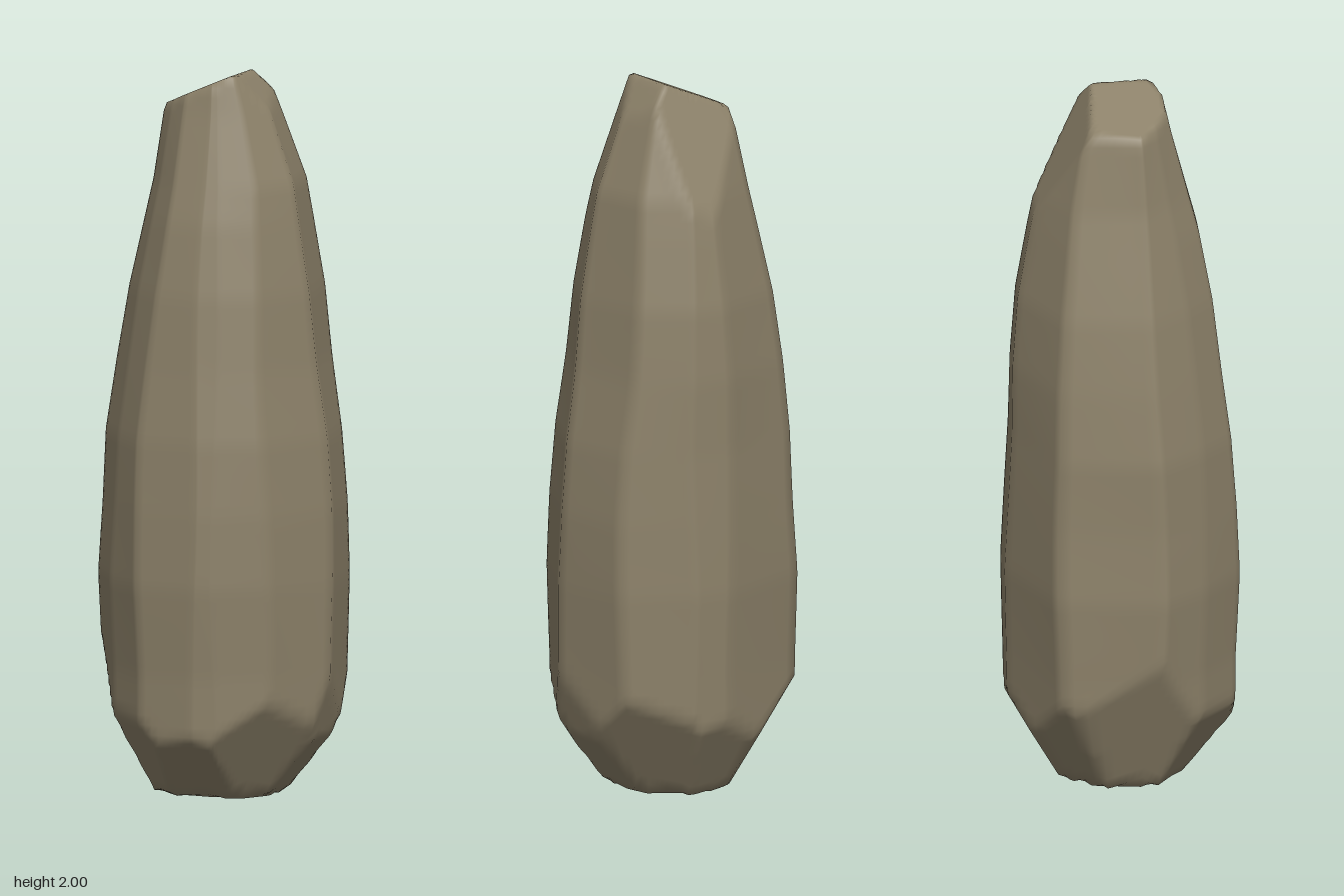
import * as THREE from 'three';

// Outline corners seen from above (x, z), as fractions of the half widths
const OUTLINE = [
  [1, 0.12], [0.67, 0.77], [0.29, 0.95], [0.12, 1], [-0.4, 0.93], [-0.73, 0.58],
  [-1, 0.14], [-0.78, -0.72], [0.06, -1], [0.4, -0.96], [0.87, -0.61],
];

// Height, then reach to -x, +x, +z and -z
const LEVELS = [
  [0, 0.335, 0.34, 0.31, 0.315],
  [0.35, 0.335, 0.342, 0.312, 0.32],
  [0.6, 0.345, 0.345, 0.325, 0.325],
  [0.8, 0.332, 0.34, 0.318, 0.316],
  [1.0, 0.325, 0.325, 0.303, 0.307],
  [1.2, 0.295, 0.295, 0.275, 0.305],
  [1.4, 0.26, 0.275, 0.25, 0.29],
  [1.6, 0.213, 0.242, 0.212, 0.255],
  [1.7, 0.19, 0.225, 0.185, 0.235],
  [1.9, 0.16, 0.15, 0.132, 0.18],
  [2.05, 0.125, 0.085, 0.1, 0.15],
];

// Planes that chip flat facets off the ends: normal x, y, z and offset
const CHIPS = [
  [0, 1, 0, 2],
  [-0.395, 0.919, 0, 1.815],
  [0.78, 0.62, 0, 1.295],
  [0, 0.435, -0.9, 0.938],
  [0, -0.687, 0.727, 0.102],
  [0.77, -0.64, 0, 0.1235],
  [0.97, -0.23, 0, 0.252],
  [-0.93, -0.37, 0, 0.16],
  [0, -0.5, -0.865, 0.16],
  [0.62, -0.5, 0.6, 0.145],
  [-0.62, -0.5, 0.6, 0.145],
  [0.62, -0.5, -0.6, 0.15],
  [-0.62, -0.5, -0.6, 0.15],
];

function reachAt(y) {
  let i = 0;
  while (i < LEVELS.length - 2 && y > LEVELS[i + 1][0]) i++;
  const a = LEVELS[i], b = LEVELS[i + 1];
  const t = (y - a[0]) / (b[0] - a[0]);
  return a.map((v, k) => THREE.MathUtils.lerp(v, b[k], t));
}

// A corner wanders slightly with height so the long edges look weathered
function corner(k, y) {
  const [x, z] = OUTLINE[k % OUTLINE.length];
  const sway = 0.025 * Math.sin(y * 5 + k * 2.3);
  const c = Math.cos(sway), s = Math.sin(sway);
  return [x * c - z * s, x * s + z * c];
}

// Pull a point towards the core until it lies inside every chip plane
function chip(x, y, z) {
  const core = THREE.MathUtils.clamp(y, 0.45, 1.6);
  let t = 1;
  for (const [nx, ny, nz, d] of CHIPS) {
    const base = ny * core;
    const rise = nx * x + ny * y + nz * z - base;
    if (rise > d - base) t = Math.min(t, (d - base) / rise);
  }
  return [x * t, core + (y - core) * t, z * t];
}

function stoneGeometry() {
  const SUB = 8, SIDE_ROWS = 76, CAP_ROWS = 10;
  const rows = [];
  for (let i = 0; i < CAP_ROWS; i++) rows.push([0, i / CAP_ROWS]);
  for (let i = 0; i <= SIDE_ROWS; i++) rows.push([2.05 * i / SIDE_ROWS, 1]);
  for (let i = CAP_ROWS - 1; i >= 0; i--) rows.push([2.05, i / CAP_ROWS]);

  const columns = OUTLINE.length * SUB;
  const positions = [], index = [];
  rows.forEach(([y, scale], r) => {
    const [, left, right, front, back] = reachAt(y);
    for (let j = 0; j < columns; j++) {
      const k = Math.floor(j / SUB), t = (j % SUB) / SUB;
      const a = corner(k, y), b = corner(k + 1, y);
      const u = THREE.MathUtils.lerp(a[0], b[0], t) * scale;
      const v = THREE.MathUtils.lerp(a[1], b[1], t) * scale;
      positions.push(...chip(u * (u < 0 ? left : right), y, v * (v < 0 ? back : front)));
      if (r < rows.length - 1) {
        const p = r * columns + j, q = r * columns + (j + 1) % columns;
        index.push(p, p + columns, q, q, p + columns, q + columns);
      }
    }
  });

  const geometry = new THREE.BufferGeometry();
  geometry.setAttribute('position', new THREE.Float32BufferAttribute(positions, 3));
  geometry.setIndex(index);
  geometry.computeVertexNormals();
  return geometry;
}

export function createModel() {
  const stone = new THREE.MeshStandardMaterial({ color: 0x8c8169 });
  stone.name = 'warm grey stone';

  const group = new THREE.Group();
  group.name = 'standingStone';
  const mesh = new THREE.Mesh(stoneGeometry(), stone);
  mesh.name = 'stoneBody';
  group.add(mesh);
  return group;
}
